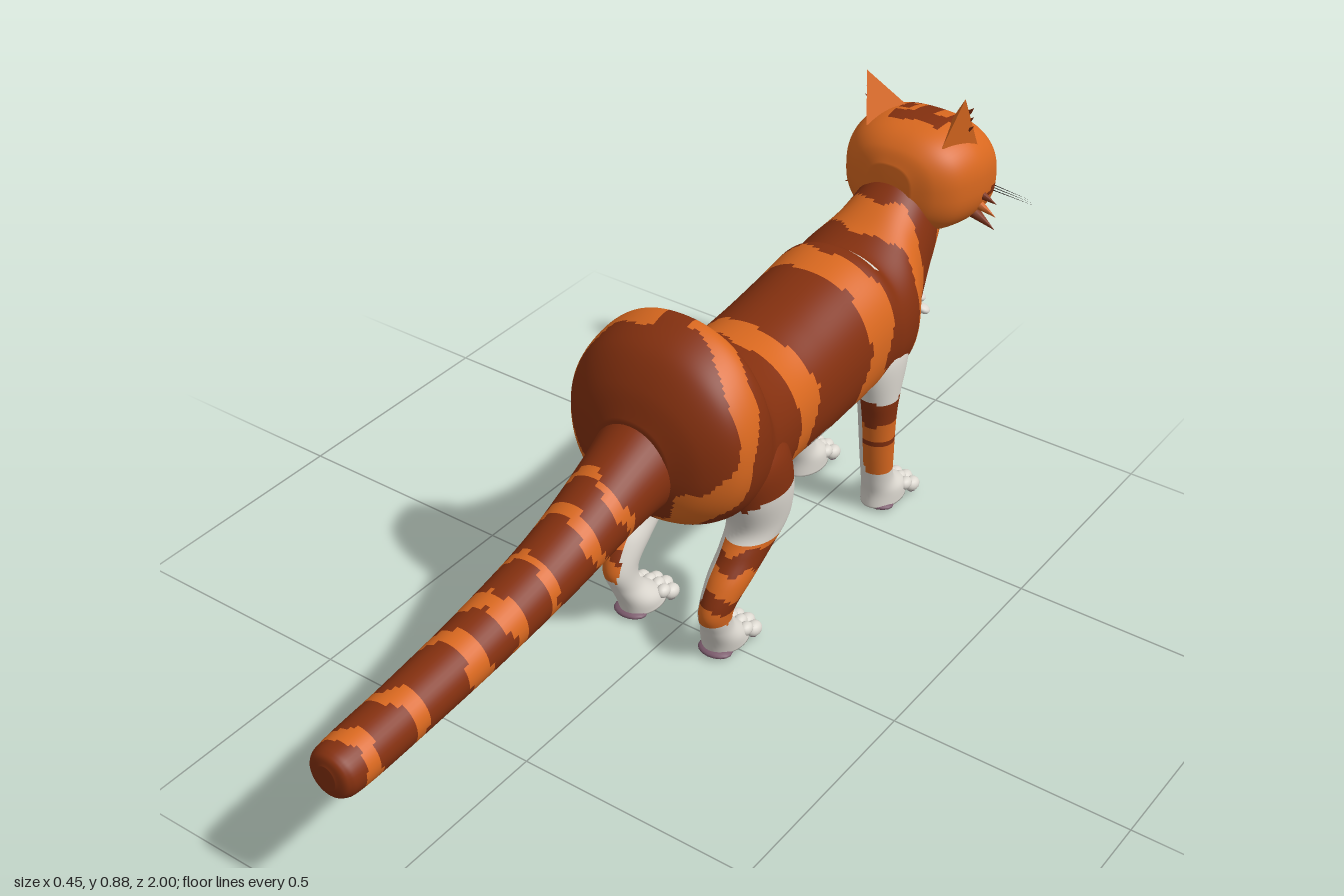
import * as THREE from 'three';

const mat = (name, color) => Object.assign(new THREE.MeshStandardMaterial({ color }), { name });
const ORANGE = 0, DARK = 1, WHITE = 2;

export function createModel() {
  const orange = mat('orange fur', 0xd9681f), dark = mat('dark stripe fur', 0x84300f);
  const white = mat('white fur', 0xdcd8d0), pink = mat('ear pink', 0xdd5c88);
  const eyeGreen = mat('eye green', 0x9ca62e), pad = mat('paw pad', 0x7b5a6c);
  const black = mat('whisker black', 0x2b2523), noseMat = mat('nose', 0xb0566a);
  const fur = [orange, dark, white];
  const cat = new THREE.Group();
  cat.name = 'cat';

  // Gentle irregular edge for the fur markings
  const wob = p => Math.sin(p.x * 31 + p.y * 17) * 0.011 + Math.sin(p.y * 43 + p.z * 29) * 0.007 + Math.sin(p.x * 71 - p.z * 61) * 0.004;
  const inBands = (v, bands) => bands.some(([a, b]) => v > a && v < b);

  // Smooth skin over rings [x, y, z, halfWidth, halfDepth]; each face takes a fur colour from paint()
  function loft(name, rows, vertical, nRow, nSeg, paint, power = 1, parent = cat) {
    const centre = new THREE.CatmullRomCurve3(rows.map(r => new THREE.Vector3(r[0], r[1], r[2])), false, 'catmullrom', 0.5);
    const radius = new THREE.CatmullRomCurve3(rows.map(r => new THREE.Vector3(r[3], r[4], 0)), false, 'catmullrom', 0.5);
    const pts = [];
    const curved = v => Math.sign(v) * Math.abs(v) ** power;
    for (let i = 0; i <= nRow; i++) {
      const c = centre.getPoint(i / nRow), r = radius.getPoint(i / nRow);
      for (let j = 0; j < nSeg; j++) {
        const a = j / nSeg * Math.PI * 2, u = curved(Math.cos(a)) * r.x, v = curved(Math.sin(a)) * r.y;
        pts.push(vertical ? new THREE.Vector3(c.x + u, c.y, c.z - v) : new THREE.Vector3(c.x + u, c.y + v, c.z));
      }
    }
    const first = pts.push(centre.getPoint(0)) - 1, last = pts.push(centre.getPoint(1)) - 1;
    const faces = [[], [], []];
    const put = (...f) => {
      const m = new THREE.Vector3();
      f.forEach(k => m.addScaledVector(pts[k], 1 / f.length));
      const list = faces[paint(m)];
      list.push(f[0], f[1], f[2]);
      if (f.length === 4) list.push(f[0], f[2], f[3]);
    };
    for (let j = 0; j < nSeg; j++) {
      const k = (j + 1) % nSeg, e = nRow * nSeg;
      put(first, j, k);
      put(last, e + k, e + j);
      for (let i = 0; i < nRow; i++) put(i * nSeg + j, (i + 1) * nSeg + j, (i + 1) * nSeg + k, i * nSeg + k);
    }
    const geo = new THREE.BufferGeometry().setFromPoints(pts);
    geo.setIndex(faces.flat());
    let start = 0;
    faces.forEach((f, i) => { if (f.length) geo.addGroup(start, f.length, i); start += f.length; });
    geo.computeVertexNormals();
    const mesh = new THREE.Mesh(geo, fur);
    mesh.name = name;
    parent.add(mesh);
  }

  const ball = new THREE.SphereGeometry(1, 16, 12);
  function blob(name, material, pos, size, rot = [0, 0, 0], parent = cat) {
    const m = new THREE.Mesh(ball, material);
    m.name = name;
    m.position.set(...pos);
    m.scale.set(...size);
    m.rotation.set(...rot);
    parent.add(m);
  }
  // Thin cone from one point to another
  function spike(name, material, from, to, r, parent = cat) {
    const a = new THREE.Vector3(...from), d = new THREE.Vector3(...to).sub(a);
    const m = new THREE.Mesh(new THREE.ConeGeometry(r, d.length(), 6), material);
    m.name = name;
    m.position.copy(a).addScaledVector(d, 0.5);
    m.quaternion.setFromUnitVectors(new THREE.Vector3(0, 1, 0), d.normalize());
    parent.add(m);
  }

  // Body: high rump, straight back, chest rising into the neck
  const spine = [ // z, bottom, top, half width
    [0.165, 0.42, 0.58, 0.08], [0.14, 0.37, 0.645, 0.145], [0.10, 0.335, 0.70, 0.19], [0.05, 0.31, 0.728, 0.204],
    [0, 0.295, 0.735, 0.2], [-0.03, 0.29, 0.69, 0.188], [-0.06, 0.29, 0.63, 0.178], [-0.12, 0.29, 0.602, 0.165],
    [-0.2, 0.293, 0.59, 0.155], [-0.3, 0.287, 0.6, 0.152], [-0.42, 0.29, 0.618, 0.152], [-0.52, 0.30, 0.632, 0.155],
    [-0.56, 0.30, 0.615, 0.158], [-0.62, 0.30, 0.63, 0.152], [-0.68, 0.325, 0.663, 0.12], [-0.74, 0.385, 0.70, 0.1],
    [-0.79, 0.47, 0.73, 0.09], [-0.85, 0.56, 0.74, 0.075]];
  loft('body', spine.map(([z, b, t, w]) => [0, (b + t) / 2, z, w, (t - b) / 2]), false, 170, 100, p => {
    const w = wob(p), x = Math.abs(p.x);
    if (p.z < 0.09 && p.y < 0.365 + w + Math.max(0, -0.6 - p.z) * 1.03) return WHITE;
    if (p.y > 0.58 && p.z < -0.535 && p.z > -0.552 && x > 0.025 && x < 0.085) return WHITE;
    if (p.z > -0.04) {
      const ring = 0.115 - 0.32 * (p.y - 0.42);
      return x > 0.035 && Math.abs(p.z - ring + w) < 0.03 ? ORANGE : DARK;
    }
    return inBands(p.z + w, [[-0.24, -0.165], [-0.51, -0.43], [-0.69, -0.62], [-0.9, -0.77]]) ? ORANGE : DARK;
  }, 0.92);

  // Tail: tapers and droops backwards, ringed with narrow bands
  loft('tail', [
    [0, 0.34, 1.0, 0.02, 0.025], [0, 0.34, 0.99, 0.045, 0.045], [0, 0.342, 0.95, 0.054, 0.051], [0, 0.353, 0.8, 0.057, 0.053],
    [0, 0.375, 0.6, 0.062, 0.057], [0, 0.41, 0.4, 0.068, 0.066], [0, 0.465, 0.22, 0.08, 0.085], [0, 0.5, 0.1, 0.1, 0.11]],
  false, 110, 40, p => {
    const z = p.z + wob(p) * 1.2;
    return inBands(z, [[0.925, 0.965], [0.82, 0.85], [0.66, 0.7], [0.56, 0.6], [0.47, 0.49], [0.34, 0.37], [0.26, 0.28]]) ? ORANGE : DARK;
  });

  // Head with a white chin and dark brow marks
  loft('head', [
    [0, 0.68, -0.722, 0.05, 0.05], [0, 0.68, -0.74, 0.1, 0.085], [0, 0.68, -0.775, 0.135, 0.11], [0, 0.68, -0.83, 0.152, 0.121],
    [0, 0.676, -0.88, 0.152, 0.12], [0, 0.666, -0.925, 0.142, 0.113], [0, 0.655, -0.955, 0.11, 0.085], [0, 0.645, -0.972, 0.06, 0.05], [0, 0.64, -0.977, 0.02, 0.02]],
  false, 70, 80, p => {
    const w = wob(p), x = Math.abs(p.x);
    if (p.z < -0.8 && p.y < 0.605 + w && x < 0.11) return WHITE;
    if (p.z < -0.87 && x > 0.07 && Math.abs(p.y - 0.635 - w) < 0.01) return DARK;
    if (p.z < -0.85 && p.y > 0.72 && (Math.abs(x - 0.05 - w) < 0.016 || x < 0.012)) return DARK;
    if (p.y > 0.74 && Math.abs(p.z + 0.83 + w) < 0.02 && x < 0.06) return DARK;
    return ORANGE;
  }, 0.8);
  blob('muzzle', white, [0, 0.605, -0.945], [0.075, 0.05, 0.05]);
  blob('chin', white, [0, 0.575, -0.925], [0.05, 0.03, 0.04]);
  blob('nose', noseMat, [0, 0.64, -0.987], [0.018, 0.013, 0.013]);
  blob('mouth', black, [0, 0.622, -0.991], [0.004, 0.012, 0.004]);

  for (const s of [-1, 1]) {
    const side = new THREE.Group();
    side.name = s > 0 ? 'rightHalfParts' : 'leftHalfParts';
    cat.add(side);

    // Face: eyes, cheek fur, whiskers
    blob('muzzlePuff', white, [s * 0.026, 0.62, -0.966], [0.034, 0.027, 0.028], [0, 0, 0], side);
    blob('eye', eyeGreen, [s * 0.075, 0.695, -0.95], [0.032, 0.02, 0.018], [0, s * -0.45, s * 0.15], side);
    blob('pupil', black, [s * 0.077, 0.695, -0.966], [0.005, 0.015, 0.004], [0, s * -0.45, 0], side);
    for (let i = 0; i < 3; i++) {
      spike('cheekFur', i === 1 ? orange : dark, [s * 0.13, 0.655 - i * 0.025, -0.86], [s * 0.185, 0.64 - i * 0.03, -0.855], 0.014, side);
      spike('whisker', black, [s * 0.05, 0.625 - i * 0.008, -0.965], [s * 0.225, 0.633 - i * 0.012, -0.925 - i * 0.012], 0.0016, side);
    }

    // Ear: orange shell around a pink front face
    const P = [[0.05, 0.785, -0.88], [0.128, 0.745, -0.865], [0.09, 0.775, -0.775], [0.117, 0.88, -0.81]].map(([x, y, z]) => new THREE.Vector3(s * x, y, z));
    const earPart = (name, idx, material) => {
      const order = s > 0 ? idx : idx.map((_, k) => idx[k - k % 3 + 2 - k % 3]);
      const g = new THREE.BufferGeometry().setFromPoints(order.map(k => P[k]));
      g.computeVertexNormals();
      const m = new THREE.Mesh(g, material);
      m.name = name;
      side.add(m);
    };
    earPart('earShell', [1, 3, 2, 2, 3, 0], orange);
    earPart('innerEar', [0, 3, 1], pink);
    for (let i = 0; i < 3; i++) spike('earFur', dark, [s * 0.115, 0.80 + i * 0.02, -0.835], [s * (0.131 - i * 0.002), 0.815 + i * 0.02, -0.83], 0.005, side);

    // Legs: striped outside, white inside and at the feet
    const legPaint = (inner, bands) => p => {
      const y = p.y + wob(p);
      if (y < 0.105 || Math.abs(p.x) < inner) return WHITE;
      return inBands(y, bands) ? DARK : ORANGE;
    };
    const hindPaint = legPaint(0.098, [[0.15, 0.18], [0.22, 0.25]]);
    loft('hindLeg', [
      [s * 0.125, 0.5, -0.03, 0.04, 0.05], [s * 0.125, 0.45, -0.035, 0.068, 0.095], [s * 0.13, 0.37, -0.06, 0.065, 0.09], [s * 0.127, 0.29, -0.075, 0.056, 0.075],
      [s * 0.125, 0.24, -0.04, 0.048, 0.065], [s * 0.122, 0.19, 0.01, 0.043, 0.055], [s * 0.117, 0.13, 0.05, 0.033, 0.042],
      [s * 0.112, 0.08, 0.04, 0.032, 0.036], [s * 0.105, 0.04, 0.01, 0.042, 0.05], [s * 0.103, 0.012, -0.005, 0.042, 0.058]],
    true, 70, 36, p => p.y > 0.375 + wob(p) ? DARK : p.y > 0.265 ? WHITE : hindPaint(p), 1, side);
    const forePaint = legPaint(0.092, [[0.26, 0.32], [0.19, 0.205]]);
    loft('frontLeg', [
      [s * 0.1, 0.46, -0.56, 0.04, 0.05], [s * 0.108, 0.4, -0.555, 0.046, 0.07], [s * 0.106, 0.31, -0.55, 0.044, 0.05], [s * 0.104, 0.25, -0.553, 0.041, 0.04],
      [s * 0.102, 0.15, -0.563, 0.037, 0.036], [s * 0.1, 0.08, -0.575, 0.035, 0.036], [s * 0.1, 0.045, -0.6, 0.043, 0.055], [s * 0.1, 0.012, -0.605, 0.043, 0.062]],
    true, 60, 36, p => p.y > 0.31 + wob(p) ? WHITE : forePaint(p), 1, side);

    // Paws: toes, side bumps and pads
    for (const [name, z] of [['hind', -0.005], ['front', -0.615]]) {
      for (let i = 0; i < 4; i++) {
        const u = i - 1.5, toeZ = z - 0.062 + Math.abs(u) * 0.012;
        blob(name + 'Toe', white, [s * 0.102 + u * 0.025, 0.024, toeZ], [0.016, 0.016, 0.02], [0, 0, 0], side);
        blob(name + 'ToePad', pad, [s * 0.102 + u * 0.025, 0.011, toeZ], [0.009, 0.006, 0.011], [0, 0, 0], side);
        blob(name + 'Knuckle', white, [s * 0.102 + u * 0.022, 0.036, toeZ + 0.022], [0.014, 0.014, 0.018], [0, 0, 0], side);
      }
      blob(name + 'HeelPad', pad, [s * 0.105, 0.012, z + 0.04], [0.038, 0.01, 0.028], [0, 0, 0], side);
    }

    // Chest tufts
    [[0.03, 0.46, -0.765], [0.045, 0.42, -0.755], [0.028, 0.375, -0.745], [0.035, 0.3, -0.725], [0.085, 0.44, -0.73], [0.13, 0.455, -0.67]].forEach(([x, y, z], i) => {
      blob('chestTuft', white, [s * x, y + s * 0.007, z], i < 4 ? [0.026, 0.011, 0.026] : [0.016, 0.01, 0.018], [-0.3, s * 0.4, s * -0.3], side);
    });
  }
  return cat;
}
